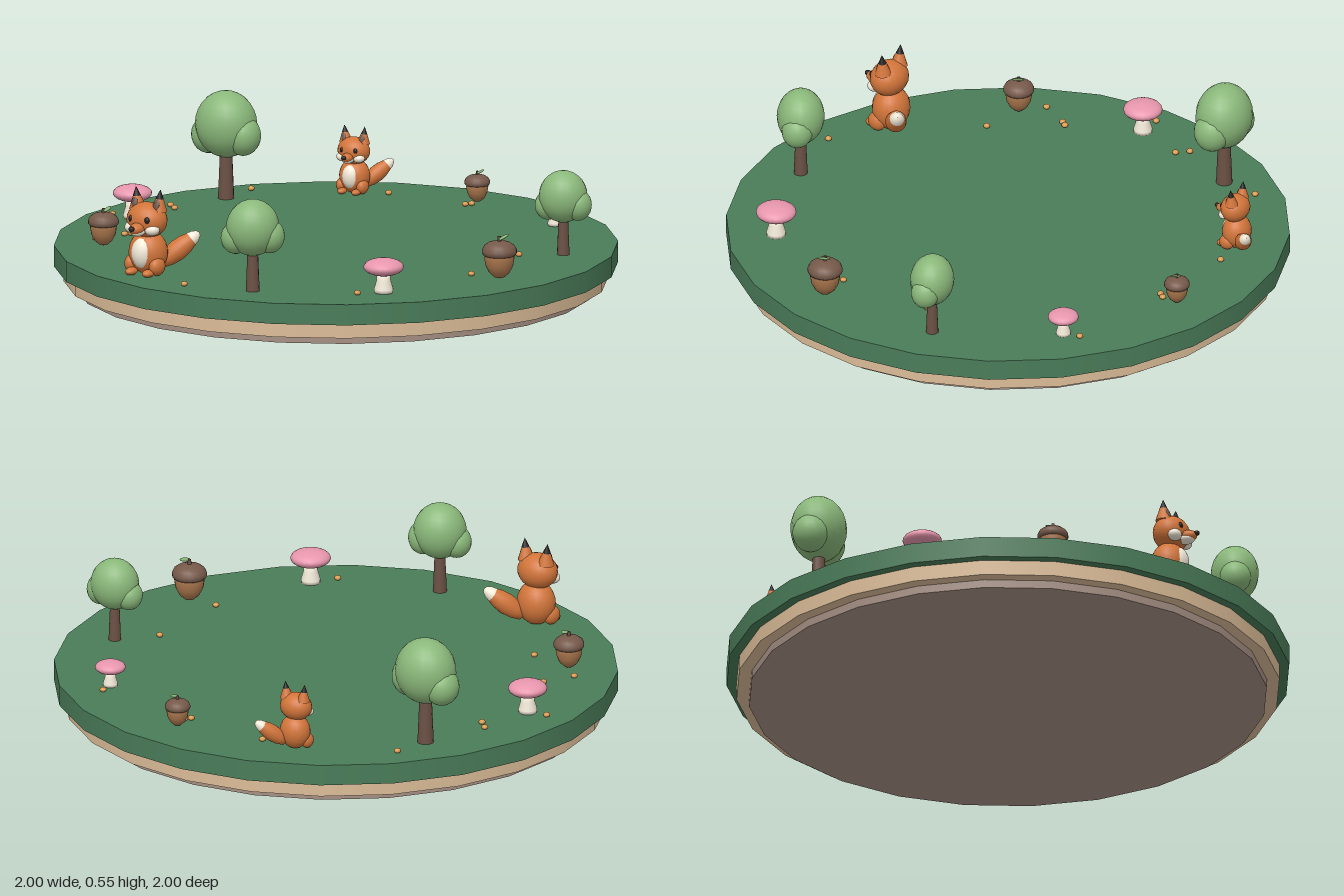
import * as THREE from 'three';

const mats = {};
const mat = (c) => (mats[c] ??= new THREE.MeshStandardMaterial({ color: c }));
const GREEN = 0x4a7c59, LEAF = 0x8ab87a, BARK = 0x6b5044, ORANGE = 0xd2753a,
  CREAM = 0xf3ead8, DARK = 0x241f1f, PINK = 0xe796ad, TAN = 0xdcbd98, STONE = 0xa58f83,
  NUT = 0xa8754c, CAP = 0x76594a, CRUMB = 0xd99a50;
const GROUND = 0.16;

function add(parent, name, geo, color, pos = [0, 0, 0], rot = [0, 0, 0]) {
  const m = new THREE.Mesh(geo, mat(color));
  m.name = name;
  m.position.set(...pos);
  m.rotation.set(...rot);
  parent.add(m);
  return m;
}

// Ellipsoid given by its three radii
function blob(parent, name, color, pos, radii, rot) {
  const m = add(parent, name, new THREE.SphereGeometry(1, 20, 14), color, pos, rot);
  m.scale.set(...radii);
  return m;
}

const lathe = (pts, n = 20) =>
  new THREE.LatheGeometry(pts.map((p) => new THREE.Vector2(...p)), n);

function tree() {
  const g = new THREE.Group();
  g.name = 'tree';
  add(g, 'trunk', new THREE.CylinderGeometry(0.02, 0.029, 0.22, 12), BARK, [0, 0.11, 0]);
  blob(g, 'canopy', LEAF, [0, 0.27, 0], [0.112, 0.12, 0.1]);
  blob(g, 'leftLobe', LEAF, [0.07, 0.235, 0.012], [0.063, 0.072, 0.065]);
  blob(g, 'rightLobe', LEAF, [-0.07, 0.225, -0.012], [0.063, 0.068, 0.065]);
  return g;
}

function acorn() {
  const g = new THREE.Group();
  g.name = 'acorn';
  add(g, 'nut', lathe([[0, 0.004], [0.018, 0.009], [0.036, 0.025], [0.049, 0.05],
    [0.054, 0.08], [0.05, 0.11], [0, 0.112]]), NUT);
  add(g, 'cap', lathe([[0, 0.086], [0.056, 0.088], [0.062, 0.096], [0.062, 0.108],
    [0.055, 0.122], [0.04, 0.133], [0.02, 0.139], [0, 0.14]]), CAP);
  add(g, 'stem', new THREE.CylinderGeometry(0.006, 0.008, 0.022, 8), BARK, [0, 0.146, 0]);
  blob(g, 'leaf', LEAF, [0.016, 0.154, 0], [0.013, 0.004, 0.029], [0.2, -0.3, 0.3]);
  return g;
}

function mushroom() {
  const g = new THREE.Group();
  g.name = 'mushroom';
  add(g, 'stalk', lathe([[0, 0], [0.034, 0.002], [0.035, 0.015], [0.026, 0.045],
    [0.024, 0.08], [0, 0.08]], 16), CREAM);
  blob(g, 'cap', PINK, [0, 0.095, 0], [0.072, 0.031, 0.072]);
  return g;
}

function fox() {
  const g = new THREE.Group();
  g.name = 'fox';
  blob(g, 'body', ORANGE, [0, 0.078, 0], [0.072, 0.08, 0.066]);
  blob(g, 'belly', CREAM, [0, 0.08, 0.033], [0.043, 0.058, 0.04]);
  blob(g, 'head', ORANGE, [0, 0.196, 0.008], [0.077, 0.064, 0.064]);
  blob(g, 'muzzle', ORANGE, [0, 0.175, 0.072], [0.026, 0.021, 0.036]);
  blob(g, 'chin', CREAM, [0, 0.164, 0.066], [0.026, 0.017, 0.032]);
  blob(g, 'nose', DARK, [0, 0.18, 0.108], [0.011, 0.009, 0.01]);
  for (const s of [1, -1]) {
    blob(g, 'cheek', CREAM, [s * 0.042, 0.17, 0.04], [0.028, 0.021, 0.026]);
    blob(g, 'eye', DARK, [s * 0.034, 0.206, 0.06], [0.01, 0.012, 0.008]);
    blob(g, 'haunch', ORANGE, [s * 0.052, 0.036, 0.022], [0.026, 0.034, 0.036]);
    blob(g, 'foot', ORANGE, [s * 0.036, 0.014, 0.055], [0.02, 0.014, 0.028]);
    // Ear: orange cone with a dark tip and dark inner face
    const ear = new THREE.Group();
    ear.name = 'ear';
    ear.position.set(s * 0.044, 0.232, 0);
    ear.rotation.z = -s * 0.1;
    add(ear, 'earBase', new THREE.CylinderGeometry(0.014, 0.031, 0.045, 12), ORANGE, [0, 0.0225, 0]);
    add(ear, 'earTip', new THREE.ConeGeometry(0.0145, 0.034, 12), DARK, [0, 0.062, 0]);
    blob(ear, 'innerEar', BARK, [0, 0.024, 0.018], [0.012, 0.022, 0.006], [-0.35, 0, 0]);
    g.add(ear);
  }
  // Tail sweeping up behind to the left, with a pale tip
  const tail = new THREE.Group();
  tail.name = 'tail';
  tail.position.set(0.026, 0.03, -0.036);
  const dir = new THREE.Vector3(0.107, 0.115, -0.105);
  tail.quaternion.setFromUnitVectors(new THREE.Vector3(0, 1, 0), dir.normalize());
  add(tail, 'brush', lathe([[0, 0], [0.02, 0.008], [0.032, 0.04], [0.038, 0.08],
    [0.034, 0.115], [0.026, 0.142]]), ORANGE);
  add(tail, 'tailTip', lathe([[0.026, 0.142], [0.022, 0.158], [0.012, 0.174], [0, 0.18]]), CREAM);
  g.add(tail);
  return g;
}

export function createModel() {
  const model = new THREE.Group();
  model.name = 'forestPlatform';

  // Stepped round base
  const tiers = [
    ['lawn', 1, 0.085, GROUND, GREEN],
    ['middleTier', 0.965, 0.03, 0.085, TAN],
    ['foot', 0.92, 0, 0.03, STONE],
  ];
  for (const [name, r, y0, y1, color] of tiers)
    add(model, name, new THREE.CylinderGeometry(r, r, y1 - y0, 24), color, [0, (y0 + y1) / 2, 0]);

  // Eleven figures evenly spaced on a ring: maker, scale, turn
  const ring = [
    [tree, 0.78, 0.05], [acorn, 1, 0], [mushroom, 1, 0], [tree, 0.85, 0.3],
    [fox, 1, -0.36], [acorn, 0.88, 0.2], [mushroom, 0.97, 0], [tree, 1, -0.15],
    [fox, 0.78, -0.25], [acorn, 0.73, 0], [mushroom, 0.76, 0],
  ];
  ring.forEach(([make, s, turn], i) => {
    const a = (i / ring.length) * Math.PI * 2;
    const item = make();
    item.position.set(0.825 * Math.cos(a), GROUND, 0.825 * Math.sin(a));
    item.scale.setScalar(s);
    item.rotation.y = turn;
    model.add(item);
  });

  // Scattered seeds on the lawn
  const seeds = [[-0.48, -0.76], [0.01, -0.8], [0.335, -0.695], [0.315, -0.68], [0.7, -0.51],
    [-0.7, -0.44], [-0.675, -0.395], [-0.87, -0.255], [-0.735, 0.04], [-0.755, 0.055],
    [-0.84, 0.145], [-0.64, 0.3], [-0.37, 0.8], [0.26, 0.805], [0.585, 0.415], [0.68, 0.07]];
  for (const [x, z] of seeds)
    blob(model, 'seed', CRUMB, [x, GROUND + 0.009, z], [0.012, 0.009, 0.012]);

  return model;
}
